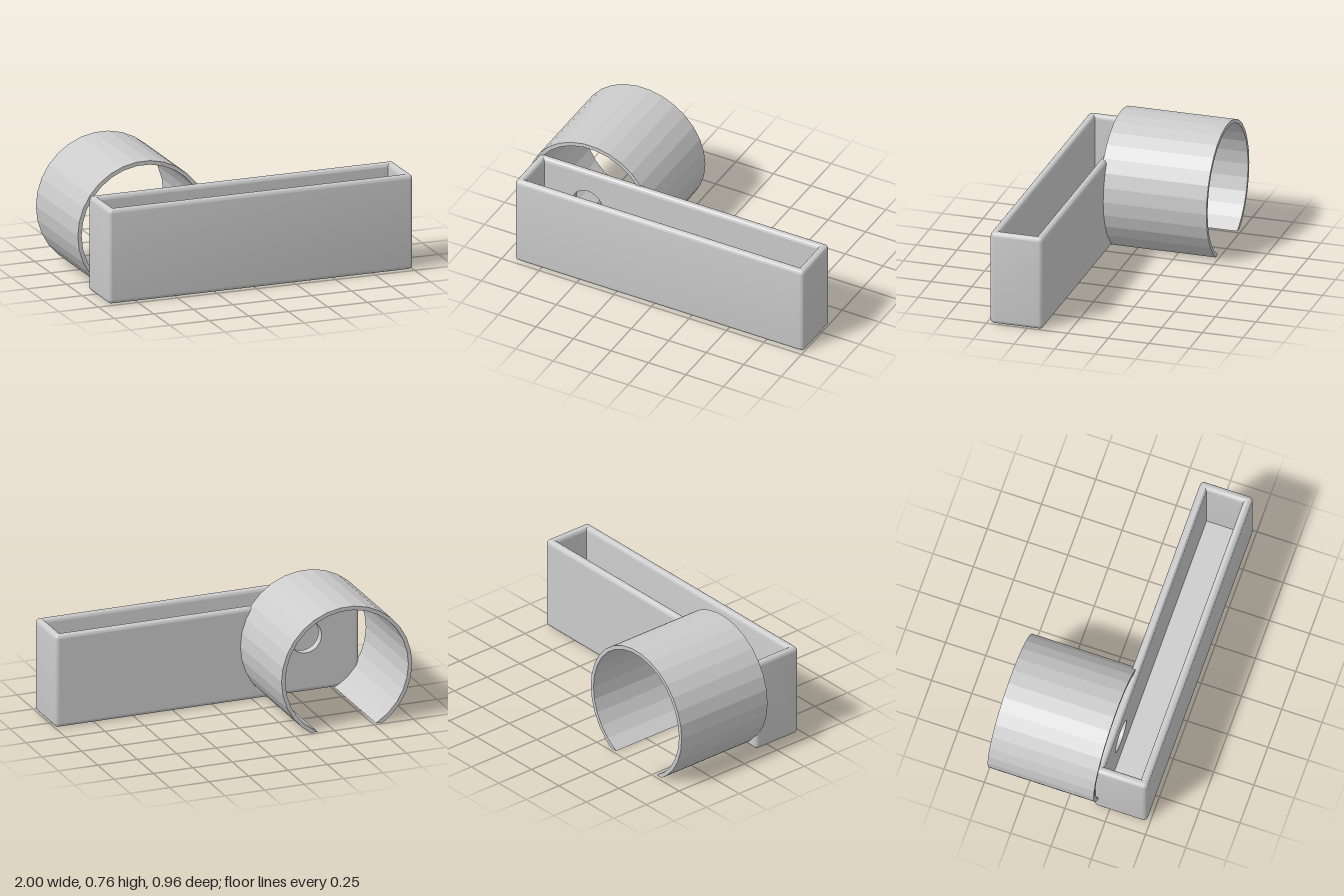
import * as THREE from 'three';
import { toCreasedNormals } from 'three/addons/utils/BufferGeometryUtils.js';

const X0 = -0.925, X1 = 1, Z0 = 0.155, Z1 = 0.48, H = 0.58; // tray extents
const R = 0.025, WALL = 0.05;                                // edge radius, wall thickness
const CX = -0.586, CY = 0.344, HOLE = 0.1;                   // clip axis and screw hole
const SEG = 6;

// Rounded-rectangle loop, inset from the outer wall of the tray
function loop(inset, y) {
  const r = Math.max(R - inset, 0), d = inset + r;
  const corners = [[X1 - d, Z1 - d], [X0 + d, Z1 - d], [X0 + d, Z0 + d], [X1 - d, Z0 + d]];
  const points = [];
  corners.forEach(([x, z], c) => {
    for (let k = 0; k <= SEG; k++) {
      const a = (c + k / SEG) * Math.PI / 2;
      points.push([x + r * Math.cos(a), y, z + r * Math.sin(a)]);
    }
  });
  return points;
}

// Hollow tray: wall profile swept around the loop, leaving the flat back wall open
function trayShell() {
  const half = (Z1 - Z0) / 2;
  const profile = [[half, 0]];
  for (let k = 0; k <= SEG; k++) {
    const a = k / SEG * Math.PI / 2;
    profile.push([R - R * Math.sin(a), R - R * Math.cos(a)]);
  }
  for (let k = 0; k <= 2 * SEG; k++) {
    const a = k / SEG * Math.PI / 2;
    profile.push([R - R * Math.cos(a), H - R + R * Math.sin(a)]);
  }
  profile.push([WALL, WALL], [half, WALL]);

  const rows = profile.map(([inset, y]) => loop(inset, y));
  const n = rows[0].length, back = 3 * (SEG + 1) - 1, pos = [];
  for (let j = 0; j < rows.length - 1; j++) {
    const tallWall = Math.abs(profile[j + 1][1] - profile[j][1]) > 0.1;
    for (let i = 0; i < n; i++) {
      if (tallWall && i === back) continue;
      const k = (i + 1) % n;
      const a = rows[j][i], b = rows[j + 1][i], c = rows[j + 1][k], d = rows[j][k];
      pos.push(...a, ...b, ...c, ...a, ...c, ...d);
    }
  }
  const geo = new THREE.BufferGeometry();
  geo.setAttribute('position', new THREE.Float32BufferAttribute(pos, 3));
  return toCreasedNormals(geo, 0.6);
}

// Flat wall face with the round screw hole
function holedFace(x0, x1, y0, y1, hx) {
  const s = new THREE.Shape();
  s.moveTo(x0, y0).lineTo(x1, y0).lineTo(x1, y1).lineTo(x0, y1).closePath();
  s.holes.push(new THREE.Path().absarc(hx, CY, HOLE, 0, Math.PI * 2, true));
  return new THREE.ShapeGeometry(s, 16);
}

// Faceted arc of the clip, cut off level with the ground
function arc(radius) {
  const cut = Math.asin(CY / radius) * 180 / Math.PI;
  const angles = [-cut];
  for (let a = -48; a <= 228; a += 12) angles.push(a);
  angles.push(180 + cut);
  return angles.map(a => new THREE.Vector2(
    CX + radius * Math.cos(a * Math.PI / 180),
    CY + radius * Math.sin(a * Math.PI / 180)));
}

export function createModel() {
  const model = new THREE.Group();
  const grey = new THREE.MeshStandardMaterial({ color: 0xcccccc });
  const add = (name, geo, parent = model, mat = grey) => {
    const mesh = new THREE.Mesh(geo, mat);
    mesh.name = name;
    parent.add(mesh);
    return mesh;
  };

  const tray = new THREE.Group();
  tray.name = 'tray';
  model.add(tray);
  add('trayShell', trayShell(), tray);

  // Back wall, outside and inside
  add('backWallOuter', holedFace(-X1 + R, -X0 - R, R, H - R, -CX)
    .rotateY(Math.PI).translate(0, 0, Z0), tray);
  add('backWallInner', holedFace(X0 + WALL, X1 - WALL, WALL, H - R, CX)
    .translate(0, 0, Z0 + WALL), tray);

  // Lining of the screw hole
  const lining = new THREE.CylinderGeometry(HOLE, HOLE, WALL, 32, 1, true)
    .rotateX(Math.PI / 2).translate(CX, CY, Z0 + WALL / 2);
  add('screwHole', lining, tray,
    new THREE.MeshStandardMaterial({ color: 0xcccccc, side: THREE.DoubleSide }));

  // Open clip ring behind the tray, its front end sunk into the wall
  const back = -0.48, front = 0.178;
  const ring = new THREE.Shape([...arc(0.414), ...arc(0.39).reverse()]);
  add('clipRing', new THREE.ExtrudeGeometry(ring, { depth: front - back, bevelEnabled: false })
    .translate(0, 0, back));

  return model;
}
